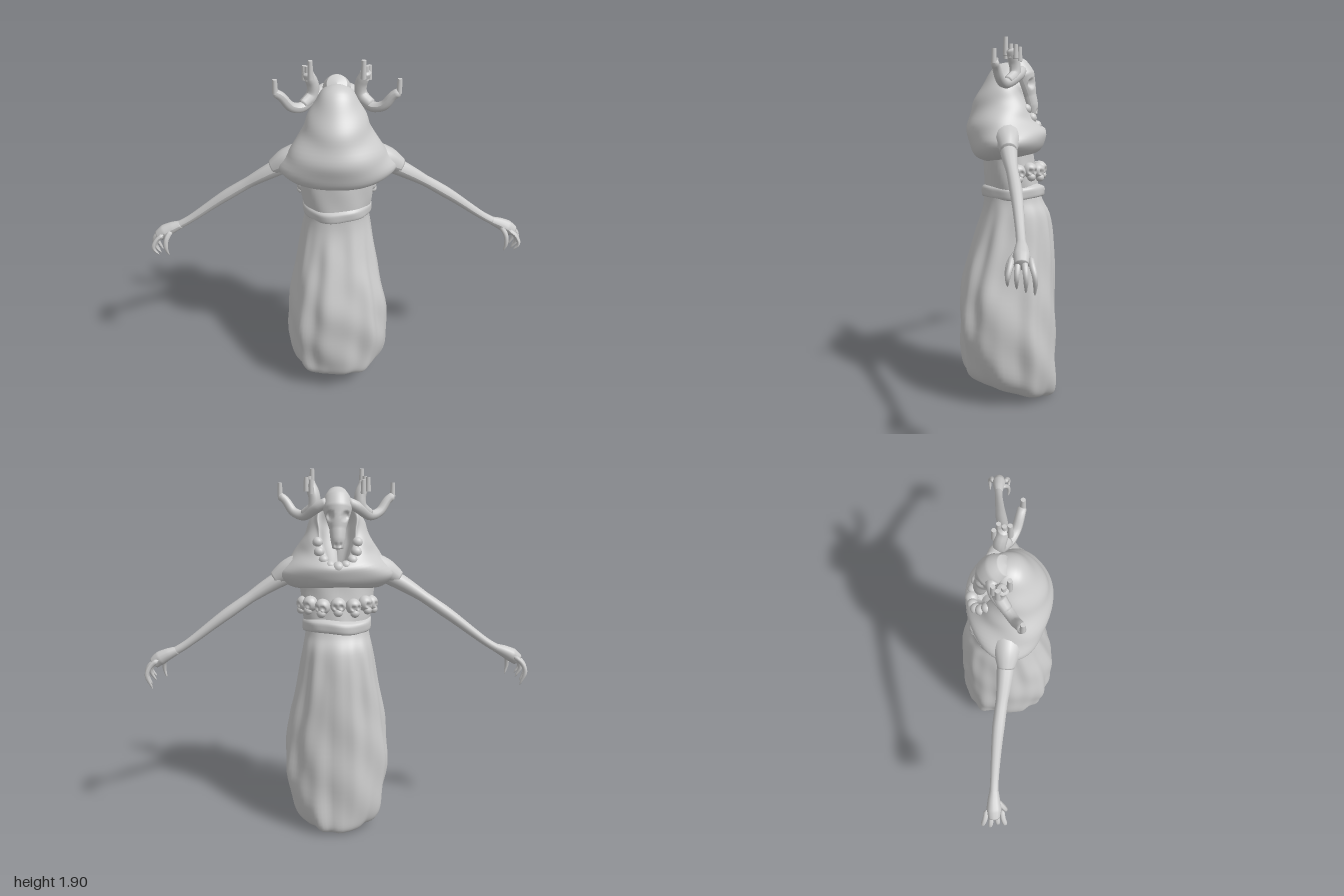
import * as THREE from 'three';

const material = new THREE.MeshStandardMaterial({ color: 0xcccccc, side: THREE.DoubleSide });
const V = (p) => new THREE.Vector3(...p);

function add(parent, name, geometry, pos = [0, 0, 0]) {
  const mesh = new THREE.Mesh(geometry, material);
  mesh.name = name;
  mesh.position.set(...pos);
  parent.add(mesh);
  return mesh;
}

// Closed rings joined into a skin; point(row, angle) gives each corner, angle 0 at +z
function loft(rows, point, sides = 64) {
  const pos = [], index = [];
  rows.forEach((row, i) => {
    for (let j = 0; j < sides; j++) {
      pos.push(...point(row, (j / sides) * Math.PI * 2));
      if (i === rows.length - 1) continue;
      const k = (j + 1) % sides, a = i * sides, b = a + sides;
      index.push(a + j, a + k, b + k, a + j, b + k, b + j);
    }
  });
  const g = new THREE.BufferGeometry();
  g.setAttribute('position', new THREE.Float32BufferAttribute(pos, 3));
  g.setIndex(index);
  g.computeVertexNormals();
  return g;
}

// Smoothly resample a short table of ring measures
function refine(rows, steps) {
  const out = [];
  for (let i = 0; i < rows.length - 1; i++) {
    const p0 = rows[Math.max(i - 1, 0)], p1 = rows[i], p2 = rows[i + 1], p3 = rows[Math.min(i + 2, rows.length - 1)];
    for (let s = 0; s < steps; s++) {
      const t = s / steps;
      out.push(p1.map((v, k) => v + 0.5 * t * (p2[k] - p0[k] +
        t * (2 * p0[k] - 5 * v + 4 * p2[k] - p3[k] + t * (3 * (v - p2[k]) + p3[k] - p0[k])))));
    }
  }
  out.push(rows[rows.length - 1]);
  return out;
}

// Tube with a radius that changes along its path, pinched shut at both ends
function limb(points, radii, sides = 10, steps = 24) {
  const curve = new THREE.CatmullRomCurve3(points.map(V));
  const g = new THREE.TubeGeometry(curve, steps, 1, sides);
  const p = g.attributes.position, v = new THREE.Vector3();
  for (let i = 0; i <= steps; i++) {
    const t = i / steps, f = t * (radii.length - 1), k = Math.min(Math.floor(f), radii.length - 2);
    const r = i === 0 || i === steps ? 0.001 : THREE.MathUtils.lerp(radii[k], radii[k + 1], f - k);
    const c = curve.getPointAt(t);
    for (let j = 0; j <= sides; j++) {
      const n = i * (sides + 1) + j;
      v.fromBufferAttribute(p, n).sub(c).multiplyScalar(r).add(c);
      p.setXYZ(n, v.x, v.y, v.z);
    }
  }
  g.computeVertexNormals();
  return g;
}

// Push a surface inward around given hollows [x, y, z, radius, depth in z]
function dent(g, hollows) {
  const p = g.attributes.position, v = new THREE.Vector3();
  for (let i = 0; i < p.count; i++) {
    v.fromBufferAttribute(p, i);
    for (const [x, y, z, r, d] of hollows) {
      const s = v.distanceTo(V([x, y, z])) / r;
      if (s < 1) p.setZ(i, p.getZ(i) + d * (1 - s * s));
    }
  }
  g.computeVertexNormals();
  return g;
}

function addRobe(root) {
  // y, half width, +z reach, -z reach
  const rows = refine([
    [0.06, 0.005, -0.02, -0.03], [0.05, 0.12, 0.11, -0.16], [0, 0.165, 0.17, -0.21], [0.03, 0.215, 0.22, -0.255],
    [0.12, 0.255, 0.235, -0.266], [0.3, 0.277, 0.25, -0.262], [0.5, 0.265, 0.25, -0.255], [0.68, 0.235, 0.22, -0.25],
    [0.85, 0.205, 0.175, -0.243], [1.0, 0.182, 0.135, -0.225], [1.08, 0.168, 0.122, -0.19], [1.13, 0.165, 0.12, -0.175],
  ], 5);
  const square = (v) => Math.sign(v) * Math.abs(v) ** 0.82;
  add(root, 'robe', loft(rows, ([y, rx, zb, zf], a) => {
    const low = Math.max(0, 1 - y / 1.1) * Math.min(1, rx / 0.2);
    const lumps = 0.05 * low * Math.sin(3 * a + 7 * y) * Math.sin(11 * y + 2 * a);
    const folds = 0.025 * Math.cos(9 * a + 2 * y) + 0.015 * Math.sin(14 * a - 3 * y);
    const ridge = 0.05 * Math.exp(-(((a - Math.PI) / 0.09) ** 2));
    const fade = Math.min(1, rx / 0.2) * THREE.MathUtils.clamp((1.12 - y) * 5, 0, 1);
    const s = 1 + lumps + (folds + ridge) * fade;
    const mid = (zb + zf) / 2;
    const z = mid + ((zb - zf) / 2) * square(Math.cos(a)) * s;
    return [rx * square(Math.sin(a)) * s, y + (0.01 + 0.28 * (z + 0.25)) * Math.max(0, 1 - y / 1.12), z];
  }, 96));

  // Waist band and upper body
  const oval = ([y, rx, zb, zf], a) => {
    const w = 1 + 0.015 * Math.sin(7 * a + 20 * y);
    return [rx * Math.sin(a) * w, y + 0.006 * Math.sin(3 * a), (zb + zf) / 2 + ((zb - zf) / 2) * Math.cos(a) * w];
  };
  add(root, 'waistBand', loft(refine([
    [1.1, 0.16, 0.11, -0.17], [1.105, 0.177, 0.13, -0.195], [1.13, 0.18, 0.135, -0.2],
    [1.155, 0.178, 0.133, -0.195], [1.17, 0.16, 0.11, -0.16],
  ], 3), oval));
  add(root, 'torso', loft(refine([
    [1.13, 0.168, 0.12, -0.17], [1.2, 0.182, 0.12, -0.16], [1.3, 0.19, 0.12, -0.145], [1.4, 0.19, 0.11, -0.13], [1.44, 0.1, 0.05, -0.08],
  ], 4), oval));
}

function addHood(root) {
  // half width, +z reach, -z reach, height at +z, height at -z; hem to rim to lining
  const rows = refine([
    [0.17, 0.11, -0.12, 1.29, 1.34], [0.25, 0.165, -0.16, 1.32, 1.34], [0.295, 0.2, -0.195, 1.39, 1.375],
    [0.255, 0.205, -0.205, 1.47, 1.425], [0.2, 0.185, -0.19, 1.56, 1.45], [0.17, 0.15, -0.175, 1.64, 1.455],
    [0.145, 0.105, -0.16, 1.72, 1.445], [0.115, 0.05, -0.145, 1.785, 1.425], [0.1, -0.02, -0.13, 1.795, 1.405],
    [0.085, -0.02, -0.11, 1.76, 1.4], [0.06, 0.04, -0.06, 1.68, 1.4], [0.005, 0.0, -0.01, 1.55, 1.5],
  ], 4);
  add(root, 'hoodAndShawl', loft(rows, ([rx, zb, zf, yb, yf], a) => {
    const c = Math.cos(a), w = ((1 + c) / 2) ** 0.6;
    const y = yf + (yb - yf) * w;
    const s = 1 + 0.022 * Math.sin(42 * y + 3 * c) + 0.012 * Math.sin(5 * a + 9 * y);
    return [rx * Math.sin(a) * s, y, (zb + zf) / 2 + ((zb - zf) / 2) * c * s];
  }, 80));
}

function addHead(root) {
  // Long animal skull looking towards -z
  const skull = limb(
    [[0, 1.8, -0.01], [0, 1.755, -0.055], [0, 1.69, -0.088], [0, 1.62, -0.115], [0, 1.56, -0.13], [0, 1.525, -0.132]],
    [0.045, 0.068, 0.074, 0.058, 0.042, 0.037, 0.026], 32, 48);
  dent(skull, [[0.05, 1.69, -0.14, 0.03, 0.03], [-0.05, 1.69, -0.14, 0.03, 0.03],
    [0.014, 1.55, -0.165, 0.014, 0.012], [-0.014, 1.55, -0.165, 0.014, 0.012]]);
  add(root, 'skullHead', skull);

  for (const side of [-1, 1]) {
    const antler = new THREE.Group();
    antler.name = side > 0 ? 'leftAntler' : 'rightAntler';
    const m = ([x, y, z]) => [x * side, y, z];
    add(antler, 'mainBeam', limb(
      [[0.04, 1.76, -0.08], [0.1, 1.73, -0.06], [0.17, 1.685, 0], [0.22, 1.7, 0.03], [0.265, 1.76, 0.05], [0.3, 1.785, 0.06]].map(m),
      [0.025, 0.03, 0.027, 0.025, 0.023, 0.02]));
    add(antler, 'innerBeam', limb(
      [[0.17, 1.69, 0], [0.12, 1.73, -0.04], [0.115, 1.78, -0.04], [0.135, 1.84, -0.025], [0.14, 1.86, -0.02]].map(m),
      [0.025, 0.03, 0.03, 0.03, 0.025]));
    const tines = [[0.125, 1.87, 0.005, 0.09], [0.14, 1.845, -0.02, 0.07], [0.155, 1.84, -0.045, 0.07],
      [0.13, 1.83, -0.065, 0.07], [0.29, 1.81, 0.06, 0.07]];
    for (const [x, y, z, h] of tines) add(antler, 'tine', new THREE.CylinderGeometry(0.011, 0.014, h, 8), m([x, y, z]));
    root.add(antler);
  }
}

function addArms(root) {
  for (const side of [-1, 1]) {
    const arm = new THREE.Group();
    arm.name = side > 0 ? 'leftArm' : 'rightArm';
    const m = ([x, y, z]) => [x * side, y, z];
    add(arm, 'sleeve', limb([[0.16, 1.42, 0], [0.25, 1.4, -0.005], [0.33, 1.355, -0.01]].map(m), [0.09, 0.065, 0.038], 14));
    add(arm, 'forearm', limb(
      [[0.22, 1.4, -0.005], [0.36, 1.325, -0.015], [0.58, 1.18, -0.045], [0.8, 1.02, -0.062], [0.9, 0.965, -0.065]].map(m),
      [0.048, 0.04, 0.029, 0.03, 0.025, 0.021, 0.022], 12));
    add(arm, 'palm', limb([[0.83, 1.0, -0.063], [0.89, 0.975, -0.064], [0.935, 0.95, -0.063], [0.965, 0.925, -0.063]].map(m),
      [0.02, 0.03, 0.037, 0.03], 12));
    // Four hooked fingers and a thumb
    for (let i = 0; i < 4; i++) {
      const z = -0.1 + i * 0.025, spread = (i - 1.5) * 0.012, x = 0.008 * Math.sin(i * 2);
      add(arm, 'finger', limb(
        [[0.93, 0.955, z], [0.97 + x, 0.925, z + spread * 0.4], [0.99 + x, 0.88, z + spread], [0.965 + x, 0.805 + 0.012 * i, z + spread]].map(m),
        [0.013, 0.013, 0.011, 0.004], 7, 14));
    }
    add(arm, 'thumb', limb([[0.89, 0.97, -0.045], [0.915, 0.93, -0.015], [0.92, 0.88, -0.005], [0.91, 0.835, -0.01]].map(m),
      [0.014, 0.013, 0.011, 0.004], 7, 14));
    root.add(arm);
  }
}

function addOrnaments(root) {
  // Bead necklace hanging below the head
  for (let i = -4; i <= 4; i++) {
    const a = i * 0.4;
    add(root, 'neckBead', new THREE.SphereGeometry(i === 0 ? 0.032 : 0.027, 16, 12),
      [0.1 * Math.sin(a), 1.555 - 0.115 * Math.cos(a), -0.1 - 0.075 * Math.cos(a)]);
  }
  // Row of small skulls round the -z side of the torso
  for (let i = -3; i <= 3; i++) {
    const a = i * 0.46, skull = new THREE.Group();
    skull.name = 'beltSkull';
    const cranium = dent(new THREE.SphereGeometry(0.04, 24, 18),
      [[0.016, -0.005, -0.036, 0.015, 0.018], [-0.016, -0.005, -0.036, 0.015, 0.018], [0, -0.022, -0.033, 0.009, 0.01]]);
    add(skull, 'cranium', cranium);
    add(skull, 'jaw', new THREE.SphereGeometry(0.024, 14, 10), [0, -0.034, -0.016]).scale.set(1, 0.9, 0.9);
    skull.position.set(0.175 * Math.sin(a), 1.25 - 0.008 * (i & 1), -0.03 - 0.142 * Math.cos(a));
    skull.rotation.y = -a;
    root.add(skull);
  }
}

export function createModel() {
  const root = new THREE.Group();
  root.name = 'hoodedFigure';
  addRobe(root);
  addHood(root);
  addHead(root);
  addArms(root);
  addOrnaments(root);
  return root;
}
